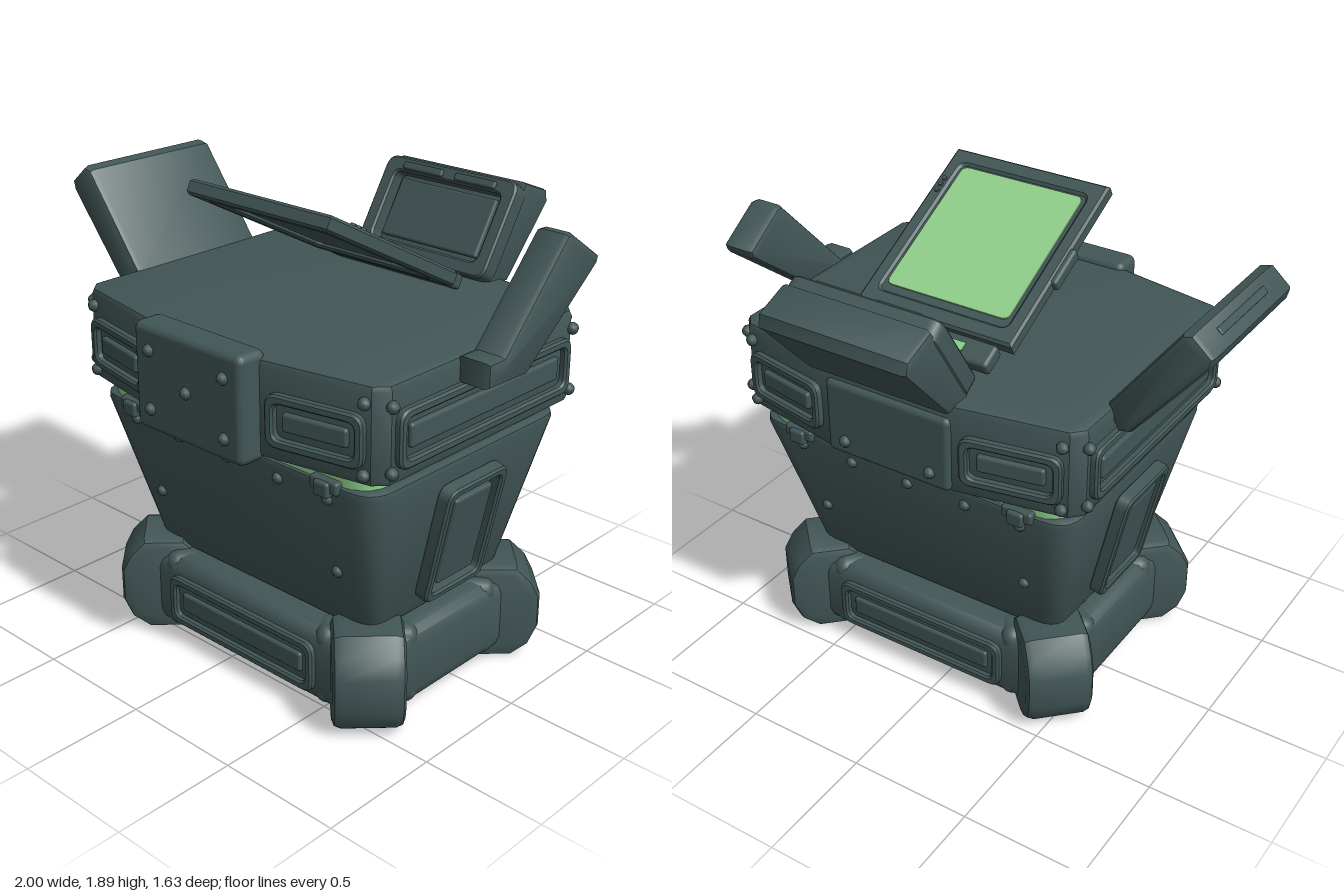
import * as THREE from 'three';
import { toCreasedNormals } from 'three/addons/utils/BufferGeometryUtils.js';
import { RoundedBoxGeometry } from 'three/addons/geometries/RoundedBoxGeometry.js';

const dark = new THREE.MeshStandardMaterial({ color: 0x425656 });
dark.name = 'dark slate metal';
const green = new THREE.MeshStandardMaterial({ color: 0x90d08c });
green.name = 'green glow';

function add(parent, name, geo, x = 0, y = 0, z = 0, mat = dark) {
  const m = new THREE.Mesh(geo, mat);
  m.name = name;
  m.position.set(x, y, z);
  parent.add(m);
  return m;
}

function group(parent, name, x = 0, y = 0, z = 0, turn = 0, tilt = 0) {
  const g = new THREE.Group();
  g.name = name;
  g.position.set(x, y, z);
  g.rotation.set(tilt, turn, 0, 'YXZ');
  parent.add(g);
  return g;
}

const rbox = (w, h, d, r = 0.02) => new RoundedBoxGeometry(w, h, d, 2, r);

function roundRect(w, h, r, Type = THREE.Shape) {
  const s = new Type(), a = w / 2, b = h / 2;
  s.moveTo(-a + r, -b);
  s.lineTo(a - r, -b).quadraticCurveTo(a, -b, a, -b + r);
  s.lineTo(a, b - r).quadraticCurveTo(a, b, a - r, b);
  s.lineTo(-a + r, b).quadraticCurveTo(-a, b, -a, b - r);
  s.lineTo(-a, -b + r).quadraticCurveTo(-a, -b, -a + r, -b);
  return s;
}

const polygon = pts => new THREE.Shape(pts.map(p => new THREE.Vector2(p[0], p[1])));

// Extrusion centred on its depth, with bevels kept inside the outline
function solid(shape, depth, bevel, segments = 2) {
  const g = new THREE.ExtrudeGeometry(shape, {
    depth: depth - 2 * bevel, bevelThickness: bevel, bevelSize: bevel,
    bevelOffset: -bevel, bevelSegments: segments, curveSegments: 5,
  });
  g.translate(0, 0, -depth / 2 + bevel);
  return g;
}
const creased = g => toCreasedNormals(g, 0.6);

// Raised frame lying on the local xy plane
function frameGeometry(w, h, rim, depth) {
  const s = roundRect(w, h, 0.05);
  s.holes.push(roundRect(w - 2 * rim, h - 2 * rim, 0.03, THREE.Path));
  return creased(solid(s, depth, 0.008, 1));
}

// Framed panel with a raised middle plate
function panel(parent, name, w, h, x, y, z, turn, tilt = 0) {
  const g = group(parent, name, x, y, z, turn, tilt);
  add(g, 'panelFrame', frameGeometry(w, h, 0.035, 0.06));
  add(g, 'panelPlate', rbox(w - 0.13, h - 0.13, 0.04, 0.012));
  return g;
}

const boltGeo = new THREE.SphereGeometry(0.024, 8, 6);
const bolt = (parent, x, y, z) => add(parent, 'bolt', boltGeo, x, y, z);

export function createModel() {
  const root = new THREE.Group();
  root.name = 'supplyCrate';
  const core = group(root, 'crateCore', 0.11, 0, 0.07);

  // Base with cut corners
  const baseOutline = polygon([[-0.66, -0.32], [-0.5, -0.48], [0.5, -0.48], [0.66, -0.32],
    [0.66, 0.32], [0.5, 0.48], [-0.5, 0.48], [-0.66, 0.32]]);
  add(core, 'base', creased(solid(baseOutline, 0.33, 0.07, 3).rotateX(-Math.PI / 2)), 0, 0.195, 0);
  add(core, 'neck', rbox(1.1, 0.12, 0.72), 0, 0.37, 0);
  for (const s of [1, -1]) panel(core, 'basePanel', 0.78, 0.21, 0, 0.19, s * 0.475, s > 0 ? 0 : Math.PI);

  // Diagonal corner feet
  const footShape = polygon([[-0.18, 0], [0.03, 0], [0.1, 0.05], [0.135, 0.13], [0.135, 0.27],
    [0.1, 0.34], [0.04, 0.4], [-0.12, 0.4], [-0.18, 0.35]]);
  const footGeo = creased(solid(footShape, 0.27, 0.035));
  for (const sx of [1, -1]) for (const sz of [1, -1]) {
    const f = group(core, 'foot', sx * 0.58, 0, sz * 0.4, Math.atan2(-sz, sx));
    add(f, 'footPad', footGeo);
    add(f, 'footCollar', rbox(0.16, 0.33, 0.38, 0.05), -0.13, 0.2, 0);
  }

  // Tapered tub
  const tub = solid(roundRect(1.44, 1.1, 0.12), 0.66, 0.03).rotateX(-Math.PI / 2);
  const p = tub.attributes.position;
  for (let i = 0; i < p.count; i++) {
    const t = (p.getY(i) + 0.33) / 0.66;
    p.setX(i, p.getX(i) * (0.8 + 0.2 * t));
    p.setZ(i, p.getZ(i) * (0.69 + 0.31 * t));
  }
  tub.computeVertexNormals();
  add(core, 'tub', creased(tub), 0, 0.69, 0);
  for (const s of [1, -1]) {
    panel(core, 'tubSidePanel', 0.34, 0.51, s * 0.672, 0.68, 0, s * Math.PI / 2, 0.215);
    const face = group(core, 'tubBolts', 0, 0, 0, s > 0 ? 0 : Math.PI);
    for (const x of [-0.5, -0.26, 0, 0.26, 0.5]) bolt(face, x, 0.95, 0.53);
    for (const x of [-0.47, 0.47]) bolt(face, x, 0.62, 0.445);
    for (const x of [-0.5, 0.5]) {
      add(face, 'latch', rbox(0.13, 0.05, 0.06, 0.012), x, 1.01, 0.53);
      add(face, 'latchPin', rbox(0.07, 0.06, 0.04, 0.012), x, 1.0, 0.555);
    }
  }

  // Glowing seam between tub and lid
  add(core, 'glowSeam', creased(solid(roundRect(1.36, 1.06, 0.12), 0.1, 0.01, 1).rotateX(-Math.PI / 2)), 0, 1.04, 0, green);

  // Lid block with bowed front and back
  const lid = polygon([[-0.755, -0.5], [-0.71, -0.55], [-0.28, -0.63], [0.28, -0.63], [0.71, -0.55], [0.755, -0.5],
    [0.755, 0.5], [0.71, 0.55], [0.28, 0.63], [-0.28, 0.63], [-0.71, 0.55], [-0.755, 0.5]]);
  add(core, 'lidBlock', creased(solid(lid, 0.37, 0.025).rotateX(-Math.PI / 2)), 0, 1.25, 0);
  for (const s of [1, -1]) {
    const side = panel(core, 'lidSidePanel', 0.96, 0.22, s * 0.752, 1.23, 0, s * Math.PI / 2);
    for (const x of [-0.54, 0.54]) for (const y of [-0.11, 0.13]) bolt(side, x * 0.93, y, 0.01);
    bolt(side, 0, 0.1, 0.03);
    const face = group(core, 'lidFace', 0, 0, 0, s > 0 ? 0 : Math.PI);
    for (const k of [1, -1]) {
      const q = panel(face, 'lidPanel', 0.39, 0.2, k * 0.5, 1.23, 0.588, k * 0.19);
      for (const y of [-0.12, 0.14]) bolt(q, k * 0.19, y, 0.01);
    }
  }

  // Closed front clasp and shorter rear clasp
  const clasp = group(core, 'frontClasp', 0, 1.255, 0.655);
  add(clasp, 'claspPlate', rbox(0.55, 0.41, 0.13, 0.03));
  for (const [x, y] of [[-0.19, 0.11], [0.19, 0.11], [0, 0], [-0.19, -0.115], [0.19, -0.115]]) bolt(clasp, x, y, 0.065);
  const rear = group(core, 'rearClasp', 0, 1.225, -0.61, Math.PI);
  add(rear, 'claspPlate', rbox(0.55, 0.31, 0.08, 0.025));
  for (const x of [-0.19, 0.19]) bolt(rear, x, -0.09, 0.04);

  // Open right flap
  const rightShape = polygon([[-0.61, 1.43], [-0.66, 1.335], [-0.71, 1.345], [-0.99, 1.69], [-1, 1.73], [-0.92, 1.8], [-0.88, 1.79]]);
  add(root, 'rightFlap', creased(solid(rightShape, 0.64, 0.025)), 0, 0, 0.06);
  const slot = add(root, 'rightFlapSlot', rbox(0.03, 0.012, 0.36, 0.005), -0.957, 1.768, 0.05);
  slot.rotation.z = 0.72;

  // Open left flap, swung backwards
  const leftShape = polygon([[0.225, 1.44], [0.225, 1.345], [0.01, 1.34], [-0.38, 1.65], [-0.39, 1.68], [-0.22, 1.795], [-0.19, 1.795], [0.14, 1.44]]);
  add(root, 'leftFlap', creased(solid(leftShape, 0.145, 0.025).rotateY(-Math.PI / 2)), 0.925, 0, 0);

  // Open rear flap with recessed inner face
  const rearShape = polygon([[-0.45, 1.42], [-0.58, 1.41], [-0.82, 1.68], [-0.81, 1.73], [-0.67, 1.785]]);
  add(root, 'rearFlap', creased(solid(rearShape, 0.64, 0.02).rotateY(-Math.PI / 2)), 0.145, 0, 0);
  const inner = group(root, 'rearFlapInside', 0.145, 1.61, -0.54, 0, -0.56);
  add(inner, 'rearFlapRim', frameGeometry(0.65, 0.4, 0.06, 0.08));
  add(inner, 'rearFlapPlate', rbox(0.48, 0.24, 0.03, 0.01));
  for (const x of [-0.13, 0.13]) add(inner, 'rimGrip', rbox(0.2, 0.03, 0.02, 0.008), x, 0.165, 0.042);

  // Tilted display, raised at the front
  const display = group(root, 'display', 0.135, 1.69, 0.115, 0, -0.485);
  const rim = new THREE.Shape();
  rim.moveTo(-0.345, -0.39).lineTo(0.345, -0.39).lineTo(0.345, 0.39).lineTo(-0.345, 0.39);
  rim.holes.push(roundRect(0.57, 0.64, 0.03, THREE.Path));
  add(display, 'displayFrame', creased(solid(rim, 0.06, 0.01, 1).rotateX(-Math.PI / 2)));
  add(display, 'displayBack', new THREE.BoxGeometry(0.6, 0.03, 0.66), 0, 0.005, 0);
  add(display, 'screen', solid(roundRect(0.545, 0.6, 0.03), 0.008, 0.001, 1).rotateX(-Math.PI / 2), 0, 0.022, 0.012, green);
  add(display, 'sideKnob', rbox(0.03, 0.05, 0.17, 0.012), -0.35, 0, 0);
  for (const z of [0.17, 0.2, 0.23]) add(display, 'button', new THREE.CylinderGeometry(0.01, 0.01, 0.012, 8), 0.312, 0.033, z);

  // Hinge bar with indicator lights
  add(display, 'hingeBar', rbox(0.6, 0.06, 0.1, 0.015), 0, 0, -0.45);
  for (const [x, w] of [[-0.15, 0.06], [0.045, 0.24], [0.23, 0.05]])
    add(display, 'indicatorLight', new THREE.BoxGeometry(w, 0.008, 0.035), x, 0.031, -0.45, green);

  return root;
}
